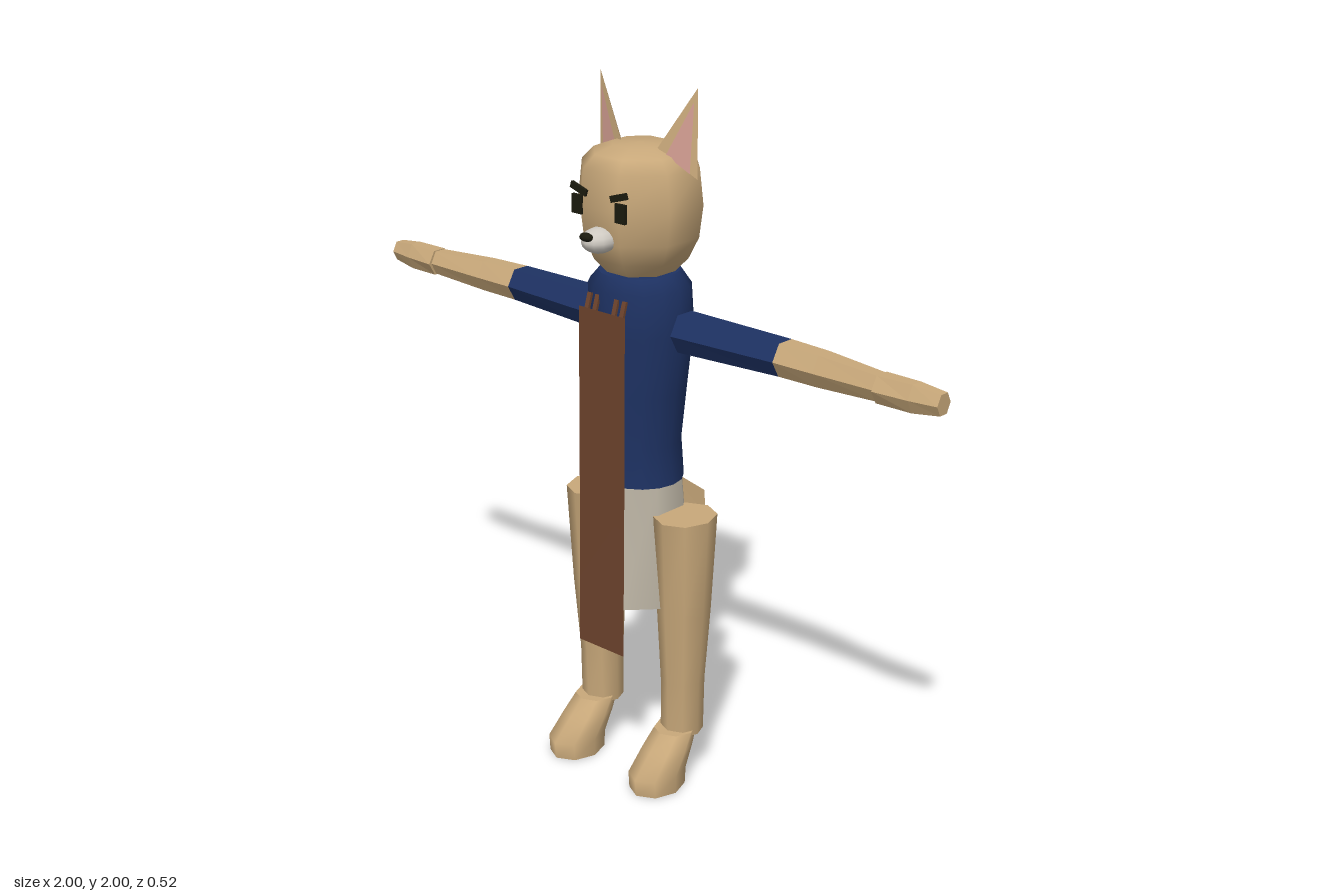
import * as THREE from 'three';

const mat = (name, color, side = THREE.FrontSide) => {
  const m = new THREE.MeshStandardMaterial({ color, side });
  m.name = name;
  return m;
};

// Closed skin through rings listed from low to high; every ring has the same point count
function loft(rings, flat) {
  const n = rings[0].length, pos = rings.flat(2), idx = [];
  for (let r = 0; r < rings.length - 1; r++)
    for (let i = 0; i < n; i++) {
      const j = (i + 1) % n, a = r * n + i, b = r * n + j;
      idx.push(a, b, b + n, a, b + n, a + n);
    }
  // flat end caps with their own corners
  for (const top of [false, true]) {
    const ring = rings[top ? rings.length - 1 : 0], base = pos.length / 3;
    pos.push(...ring.flat());
    for (let i = 1; i < n - 1; i++)
      idx.push(base, base + (top ? i : i + 1), base + (top ? i + 1 : i));
  }
  let g = new THREE.BufferGeometry();
  g.setAttribute('position', new THREE.Float32BufferAttribute(pos, 3));
  g.setIndex(idx);
  if (flat) g = g.toNonIndexed();
  g.computeVertexNormals();
  return g;
}

// Elliptical rings from rows of [y, centreX, centreZ, radiusX, radiusZ]
const ovals = (rows, n, turn = 0) => rows.map(([y, cx, cz, rx, rz]) =>
  Array.from({ length: n }, (_, i) => {
    const a = ((i + turn) / n) * Math.PI * 2;
    return [cx + Math.sin(a) * rx, y, cz + Math.cos(a) * rz];
  }));

export function createModel() {
  const group = new THREE.Group();
  const fur = mat('tan fur', 0xc8a87a);
  const navy = mat('navy cloth', 0x1e3263);
  const cream = mat('cream cloth', 0xbdb5a5);
  const brown = mat('brown cloth', 0x6c432c, THREE.DoubleSide);
  const pink = mat('pink inner ear', 0xcf9b8f, THREE.DoubleSide);
  const white = mat('pale muzzle', 0xcfcac2);
  const black = mat('black features', 0x1b1a0e);

  const add = (name, geometry, material) => {
    const m = new THREE.Mesh(geometry, material);
    m.name = name;
    group.add(m);
    return m;
  };

  // Head
  add('head', loft(ovals([
    [1.48, 0, 0.037, 0.09, 0.09], [1.53, 0, 0.037, 0.138, 0.135],
    [1.59, 0, 0.037, 0.168, 0.163], [1.68, 0, 0.037, 0.18, 0.173],
    [1.78, 0, 0.037, 0.168, 0.165], [1.815, 0, 0.037, 0.132, 0.133],
    [1.835, 0, 0.037, 0.08, 0.08], [1.838, 0, 0.037, 0.004, 0.004],
  ], 8, 0.5)), fur);

  // Muzzle and nose
  const muzzle = add('muzzle', new THREE.SphereGeometry(1, 12, 8), white);
  muzzle.scale.set(0.047, 0.035, 0.055);
  muzzle.position.set(0, 1.6, 0.195);
  const nose = add('nose', new THREE.SphereGeometry(1, 8, 6), black);
  nose.scale.set(0.023, 0.012, 0.014);
  nose.position.set(0, 1.618, 0.246);

  // Torso and shorts
  add('shirt', loft(ovals([
    [0.89, 0, 0.04, 0.125, 0.12], [1.0, 0, 0.04, 0.113, 0.118],
    [1.15, 0, 0.038, 0.13, 0.127], [1.33, 0, 0.035, 0.15, 0.14],
    [1.45, 0, 0.04, 0.147, 0.135], [1.49, 0, 0.04, 0.11, 0.115],
  ], 16)), navy);
  add('shorts', loft(ovals([
    [0.535, 0, 0.04, 0.149, 0.161], [0.89, 0, 0.04, 0.12, 0.132],
  ], 8, 0.5)), cream);

  // Hanging front cloth with short straps turned in at the neck
  const cloth = new THREE.PlaneGeometry(0.17, 1.0, 1, 2);
  const p = cloth.attributes.position;
  [[1.4, 0.19], [0.9, 0.195], [0.405, 0.202]].forEach(([y, z], r) => {
    for (const c of [0, 1]) p.setXYZ(r * 2 + c, (c - 0.5) * 0.17, y, z);
  });
  cloth.computeVertexNormals();
  add('frontCloth', cloth, brown);
  for (const x of [-0.064, -0.035, 0.035, 0.064]) {
    const strap = add('clothStrap', new THREE.BoxGeometry(0.014, 0.05, 0.008), brown);
    strap.position.set(x, 1.412, 0.174);
    strap.rotation.x = -0.3;
  }

  for (const s of [-1, 1]) {
    const side = s > 0 ? 'left' : 'right';

    // Arms run outward along x
    const arm = (name, rows, material) => {
      const g = loft(ovals(rows.map(([d, y, z, ry, rz]) => [d, -s * y, z, ry, rz]), 6), true);
      g.rotateZ(-s * Math.PI / 2);
      add(side + name, g, material);
    };
    arm('Sleeve', [[0.155, 1.34, 0.03, 0.06, 0.058], [0.49, 1.34, 0.015, 0.052, 0.052]], navy);
    arm('Forearm', [[0.49, 1.34, 0.015, 0.052, 0.052], [0.62, 1.34, 0.018, 0.05, 0.048],
      [0.82, 1.343, 0.033, 0.039, 0.035]], fur);
    arm('Hand', [[0.815, 1.343, 0.035, 0.042, 0.042], [0.92, 1.342, 0.033, 0.043, 0.035],
      [1.0, 1.342, 0.028, 0.032, 0.028]], fur);

    // Legs and feet
    add(side + 'Leg', loft(ovals([
      [0.14, s * 0.157, 0.034, 0.06, 0.062], [0.3, s * 0.159, 0.034, 0.06, 0.065],
      [0.52, s * 0.164, 0.036, 0.072, 0.08], [0.81, s * 0.168, 0.037, 0.084, 0.095],
    ], 8)), fur);
    add(side + 'Foot', loft(ovals([
      [0, s * 0.16, 0.143, 0.072, 0.088], [0.05, s * 0.16, 0.143, 0.072, 0.093],
      [0.11, s * 0.158, 0.097, 0.067, 0.077], [0.155, s * 0.157, 0.063, 0.06, 0.062],
    ], 8)), fur);

    // Ears: a three-sided spike with an inset pink face
    const shift = s > 0 ? 0.018 : -0.018;
    const v = (x, y, z) => new THREE.Vector3(s * x + shift, y, z);
    const apex = new THREE.Vector3(s * 0.174, 2, 0.005);
    const outer = v(s > 0 ? 0.178 : 0.135, 1.765, 0.03);
    const inner = v(s > 0 ? 0.06 : 0.035, 1.835, 0.055);
    const back = v(s > 0 ? 0.11 : 0.1, 1.79, -0.025);
    const tri = (...pts) => (s > 0 ? pts : [pts[0], pts[2], pts[1]]);
    const facets = (pts) => {
      const g = new THREE.BufferGeometry().setFromPoints(pts);
      g.computeVertexNormals();
      return g;
    };
    add(side + 'Ear', facets([
      ...tri(apex, inner, outer), ...tri(apex, outer, back),
      ...tri(apex, back, inner), ...tri(inner, back, outer),
    ]), fur);
    const lift = new THREE.Vector3().subVectors(inner, apex)
      .cross(new THREE.Vector3().subVectors(outer, apex)).normalize().multiplyScalar(s * 0.003);
    const base = outer.clone().lerp(inner, 0.45);
    add(side + 'InnerEar', facets(tri(
      apex.clone().lerp(base, 0.18), inner.clone().lerp(outer, 0.22), outer.clone().lerp(inner, 0.18),
    ).map((q) => q.add(lift))), pink);

    // Eyes and slanted brows
    const eye = add(side + 'Eye', new THREE.BoxGeometry(0.036, 0.052, 0.009), black);
    eye.position.set(s * 0.078, 1.685, 0.197);
    const brow = add(side + 'Brow', new THREE.BoxGeometry(0.058, 0.018, 0.009), black);
    brow.position.set(s * 0.072, 1.727, 0.197);
    brow.rotation.z = s * 0.3;
  }

  // Tail: diamond sections from the tip up to the root
  const diamond = (w, ty, tz, by, bz) => [
    [0, ty, tz], [-w, (ty + by) / 2, (tz + bz) / 2], [0, by, bz], [w, (ty + by) / 2, (tz + bz) / 2],
  ];
  add('tail', loft([
    diamond(0.001, 0.345, -0.256, 0.344, -0.255),
    diamond(0.035, 0.755, -0.235, 0.64, -0.17),
    diamond(0.03, 0.875, -0.07, 0.7, -0.07),
  ], true), fur);

  return group;
}
